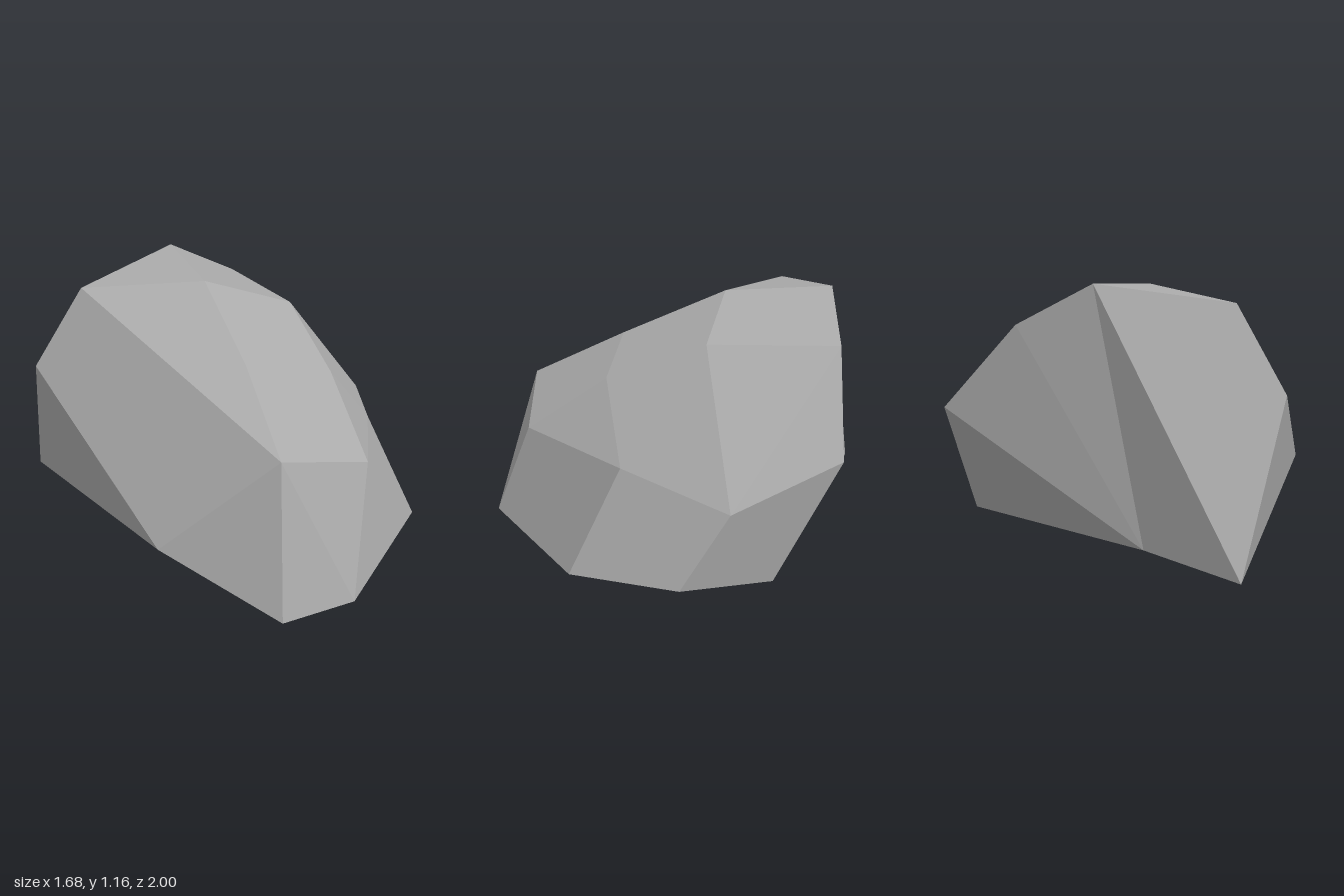
import * as THREE from 'three';

// corner points of the boulder
const P = {
  // crown
  A: [-0.475, 1.08, -0.57], B: [0.13, 1.16, -0.59], C: [0.48, 0.97, -0.49],
  R: [0.285, 0.97, 0.08], S: [-0.09, 1.12, -0.13], T: [-0.305, 0.89, 0.33], Q: [0.08, 0.79, 0.5],
  // shoulder
  D: [0.84, 0.57, -0.36], E: [0.8, 0.37, 0.13], P: [0.38, 0.46, 0.51], O: [-0.09, 0.52, 0.85],
  N: [-0.54, 0.655, 0.74], K: [-0.84, 0.19, 0.31], L: [-0.685, 0.71, -0.69],
  // foot
  F: [0.735, 0.005, 0.34], G: [0.765, 0.005, -0.08], H: [0.435, 0, 0.77], I: [-0.345, 0, 1],
  J: [-0.67, 0, 0.875], M: [-0.495, 0, -1], U: [-0.09, 0.02, -0.69],
};

// each facet is a loop of corners, counter-clockwise from outside
const facets = {
  crown: 'ASB ANTS TQRS NOQT SRCB OPQ QPR',
  rightSide: 'RPE REC CED PHFE EFGD',
  frontSide: 'IHPO NIO NJI',
  leftSide: 'LKNA KJN MKL MJK',
  backSide: 'ABML BUM BCU CDU DGU',
  base: 'JMUGFHI',
};

// fan-triangulate the loops, one flat normal per facet
function facetGeometry(loops) {
  const position = [], normal = [];
  for (const loop of loops.split(' ')) {
    const pts = [...loop].map((k) => new THREE.Vector3(...P[k]));
    const n = new THREE.Vector3();
    for (let i = 1; i < pts.length - 1; i++) {
      const tri = [pts[0], pts[i], pts[i + 1]];
      n.add(tri[1].clone().sub(tri[0]).cross(tri[2].clone().sub(tri[0])));
      tri.forEach((p) => position.push(p.x, p.y, p.z));
    }
    n.normalize();
    for (let i = 0; i < (pts.length - 2) * 3; i++) normal.push(n.x, n.y, n.z);
  }
  const geo = new THREE.BufferGeometry();
  geo.setAttribute('position', new THREE.Float32BufferAttribute(position, 3));
  geo.setAttribute('normal', new THREE.Float32BufferAttribute(normal, 3));
  return geo;
}

export function createModel() {
  const stone = new THREE.MeshStandardMaterial({ color: 0xaaaaaa });
  stone.name = 'greyStone';
  const rock = new THREE.Group();
  rock.name = 'rock';
  for (const [name, loops] of Object.entries(facets)) {
    const mesh = new THREE.Mesh(facetGeometry(loops), stone);
    mesh.name = name;
    rock.add(mesh);
  }
  return rock;
}
